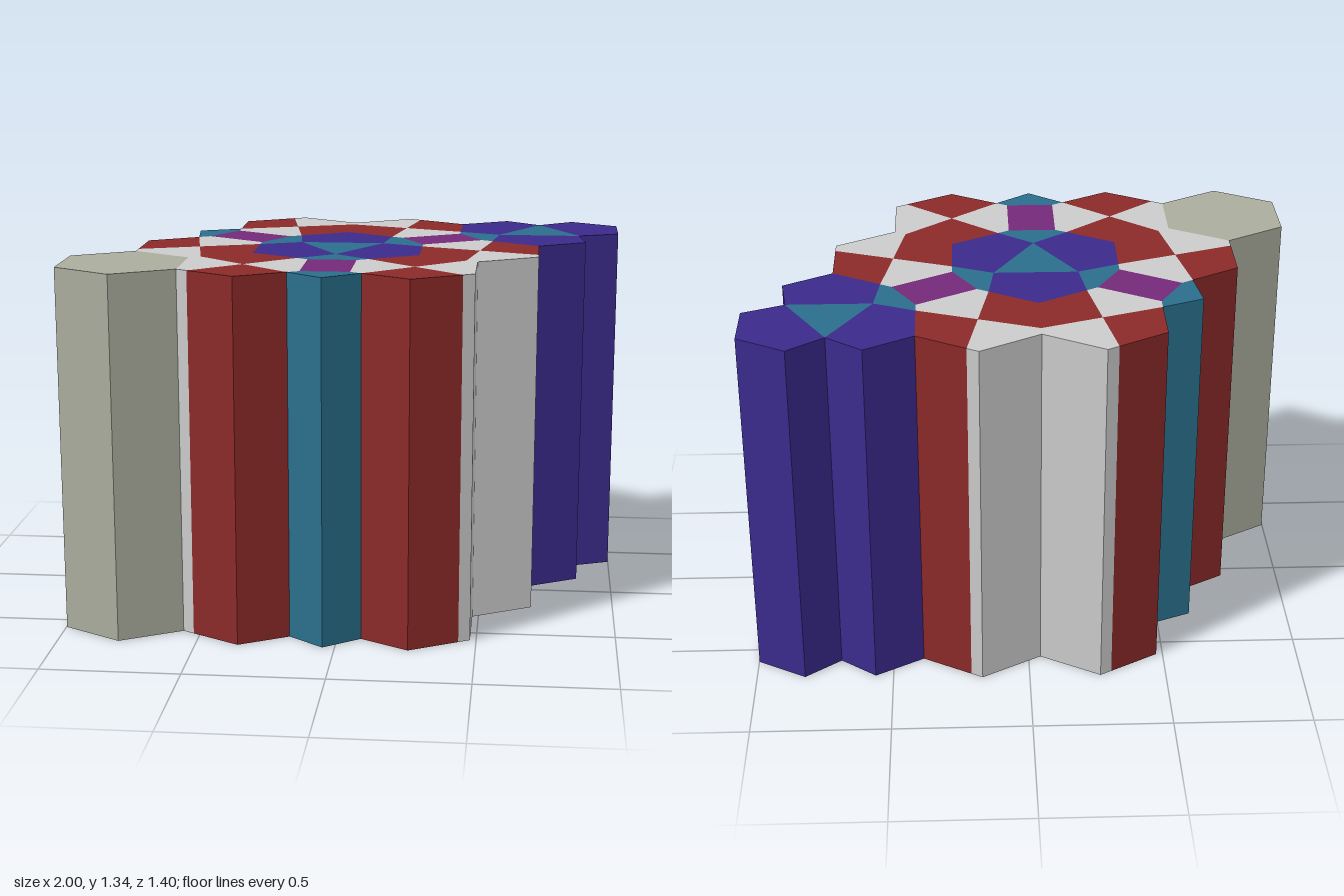
import * as THREE from 'three';

const HEIGHT = 1.335;
const R = 0.25;                       // hexagon radius
const H = R * Math.sqrt(3) / 2;       // hexagon half width
const TIP = 0.352;                    // cluster centre to pentagon tip
const TRI = 0.178;                    // radius of the cluster's triangle
const F = 0.81;                       // where tiles split a hexagon edge
const SPACING = 0.852;                // distance between cluster centres

const material = (color) => new THREE.MeshStandardMaterial({ color, flatShading: true });
const mats = {
  white: material(0xcccccc),
  red: material(0x8b2929),
  blue: material(0x3b2a8c),
  teal: material(0x2a6e8c),
  purple: material(0x74297a),
  stone: material(0xaaad9e),
};

// Upright prism over an outline of [x, z] points
function prism(name, mat, points) {
  const shape = new THREE.Shape(points.map(([x, z]) => new THREE.Vector2(x, -z)));
  const geo = new THREE.ExtrudeGeometry(shape, { depth: HEIGHT, bevelEnabled: false });
  geo.rotateX(-Math.PI / 2);
  const mesh = new THREE.Mesh(geo, mat);
  mesh.name = name;
  return mesh;
}

const mirrorX = (pts) => pts.map(([x, z]) => [-x, z]);
const mirrorZ = (pts, z0) => pts.map(([x, z]) => [x, 2 * z0 - z]);

// Hexagon cut into two red kites and two white wedges, red tips on the z axis
function bowTieHexagon() {
  const g = new THREE.Group();
  g.name = 'bowTieHexagon';
  const ex = F * H, ez = R - F * R / 2;
  const kite = [[0, 0], [ex, ez], [0, R], [-ex, ez]];
  const wedge = [[0, 0], [ex, -ez], [H, -R / 2], [H, R / 2], [ex, ez]];
  g.add(prism('redKite', mats.red, kite), prism('redKite', mats.red, mirrorZ(kite, 0)));
  g.add(prism('whiteWedge', mats.white, wedge), prism('whiteWedge', mats.white, mirrorX(wedge)));
  return g;
}

// Triangle ringed by three pentagons
function pentagonCluster() {
  const g = new THREE.Group();
  g.name = 'pentagonCluster';
  const tx = TRI * Math.sqrt(3) / 2, tz = -TRI / 2;
  g.add(prism('tealTriangle', mats.teal, [[0, TRI], [tx, tz], [-tx, tz]]));
  const ex = F * H, ez = -TIP + F * R / 2;
  for (let k = 0; k < 3; k++) {
    const p = prism('bluePentagon', mats.blue, [[-tx, tz], [-ex, ez], [0, -TIP], [ex, ez], [tx, tz]]);
    p.rotation.y = k * Math.PI * 2 / 3;
    g.add(p);
  }
  return g;
}

// Purple bar with a teal pentagon at both ends, pointing along +z
function bridge() {
  const g = new THREE.Group();
  g.name = 'bridge';
  const cx = TIP * Math.sqrt(3) / 2, mid = SPACING / 2;
  const w = cx - H, z0 = mid - R / 2;
  const ex = cx - F * H, ez = mid - R + F * R / 2;
  const end = [[0, TRI], [ex, ez], [w, z0], [-w, z0], [-ex, ez]];
  g.add(prism('purpleBar', mats.purple, [[-w, z0], [w, z0], [w, mid + R / 2], [-w, mid + R / 2]]));
  g.add(prism('tealEnd', mats.teal, end), prism('tealEnd', mats.teal, mirrorZ(end, mid)));
  return g;
}

export function createModel() {
  const model = new THREE.Group();
  model.name = 'tileColumns';
  const pattern = new THREE.Group();
  pattern.name = 'pattern';
  pattern.position.set(-0.0435, 0, 0.025);
  model.add(pattern);

  // Central rosette with threefold symmetry
  pattern.add(pentagonCluster());
  for (let k = 0; k < 3; k++) {
    const sector = new THREE.Group();
    sector.name = 'rosetteSector';
    sector.rotation.y = k * Math.PI * 2 / 3;
    sector.add(bridge());
    for (const s of [-1, 1]) {
      const hex = bowTieHexagon();
      hex.position.set(s * H, 0, -TIP - R / 2);
      hex.rotation.y = -s * Math.PI / 3;
      sector.add(hex);
    }
    pattern.add(sector);
  }

  // Second cluster at the back left, turned half round
  const dx = SPACING * Math.sqrt(3) / 2, dz = SPACING / 2;
  const outer = pentagonCluster();
  outer.position.set(dx, 0, -dz);
  outer.rotation.y = Math.PI;
  pattern.add(outer);

  // Plain hexagonal column at the front right
  const corners = [];
  for (let i = 0; i < 6; i++) {
    const a = i * Math.PI / 3;
    corners.push([R * Math.sin(a), R * Math.cos(a)]);
  }
  const column = prism('plainHexagon', mats.stone, corners);
  column.position.set(-dx, 0, dz);
  pattern.add(column);
  return model;
}
